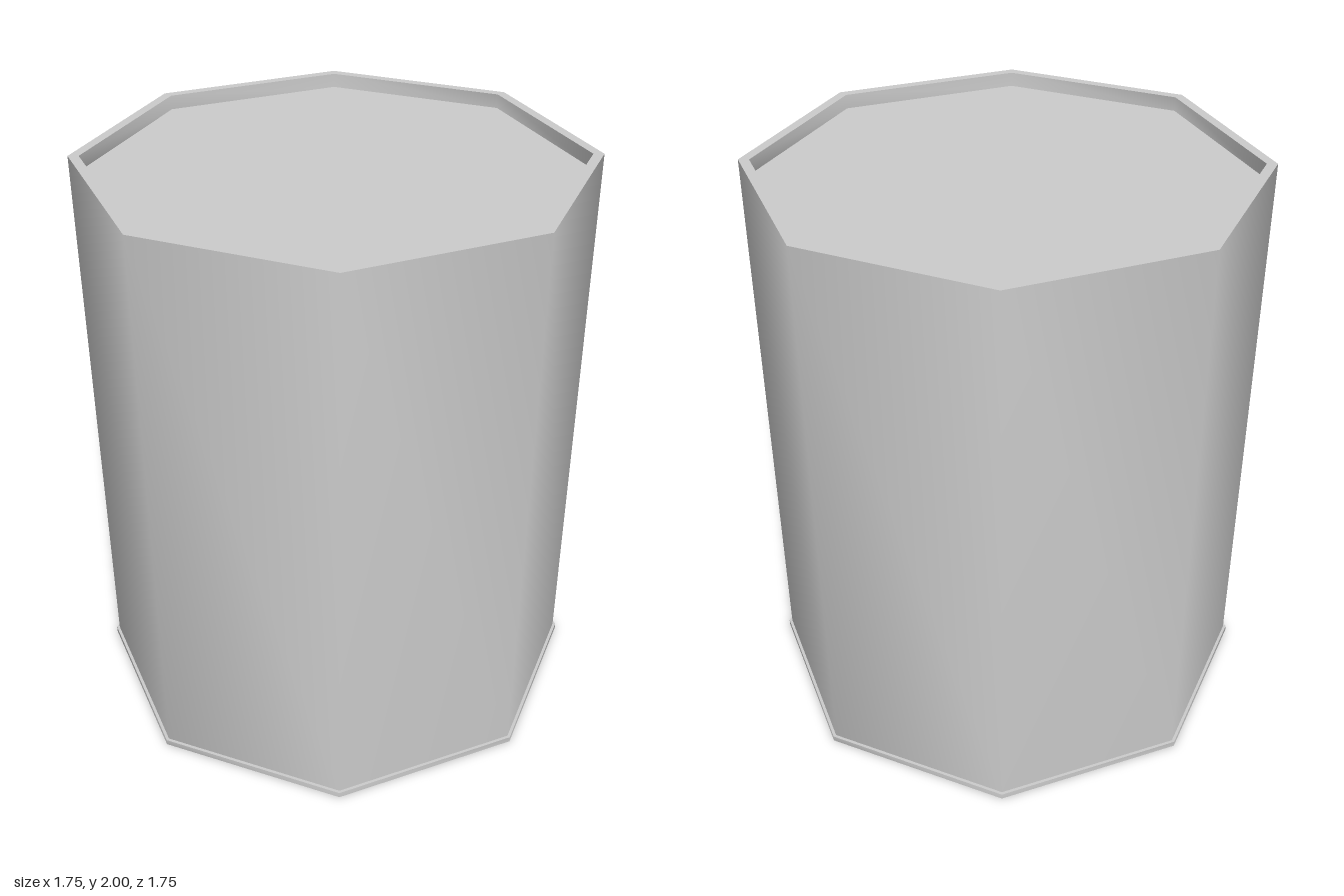
import * as THREE from 'three';
import { toCreasedNormals } from 'three/addons/utils/BufferGeometryUtils.js';

const SIDES = 8;
const WALL = 0.866, INNER = 0.83, RIM = 0.877, FOOT = 0.707; // corner radii
const TOP = 2, RIM_TOP = 0.02, TOP_PANEL = 1.95, BOTTOM_PANEL = 0.037; // heights

export function createModel() {
  const group = new THREE.Group();
  const material = new THREE.MeshStandardMaterial({ color: 0xcccccc });

  // Eight-sided ring from [radius, height] pairs, smooth around and sharp at the rims
  const addRing = (name, profile) => {
    const points = profile.map(([r, y]) => new THREE.Vector2(r, y));
    const geometry = toCreasedNormals(new THREE.LatheGeometry(points, SIDES), Math.PI / 3);
    const mesh = new THREE.Mesh(geometry, material);
    mesh.name = name;
    group.add(mesh);
  };

  // Flat octagonal panel facing up (1) or down (-1)
  const addPanel = (name, radius, y, facing) => {
    const mesh = new THREE.Mesh(new THREE.CircleGeometry(radius, SIDES), material);
    mesh.name = name;
    mesh.rotation.x = -facing * Math.PI / 2;
    mesh.position.y = y;
    group.add(mesh);
  };

  // Outer wall, top lip and the inside of the lip
  addRing('sideWall', [[WALL, RIM_TOP], [WALL, TOP], [INNER, TOP], [INNER, TOP_PANEL]]);
  addPanel('topPanel', INNER, TOP_PANEL, 1);

  // Slightly wider base rim around a shallow recess
  addRing('baseRim', [[FOOT, BOTTOM_PANEL], [FOOT, 0], [RIM, 0], [RIM, RIM_TOP], [WALL, RIM_TOP]]);
  addPanel('bottomPanel', FOOT, BOTTOM_PANEL, -1);

  return group;
}
